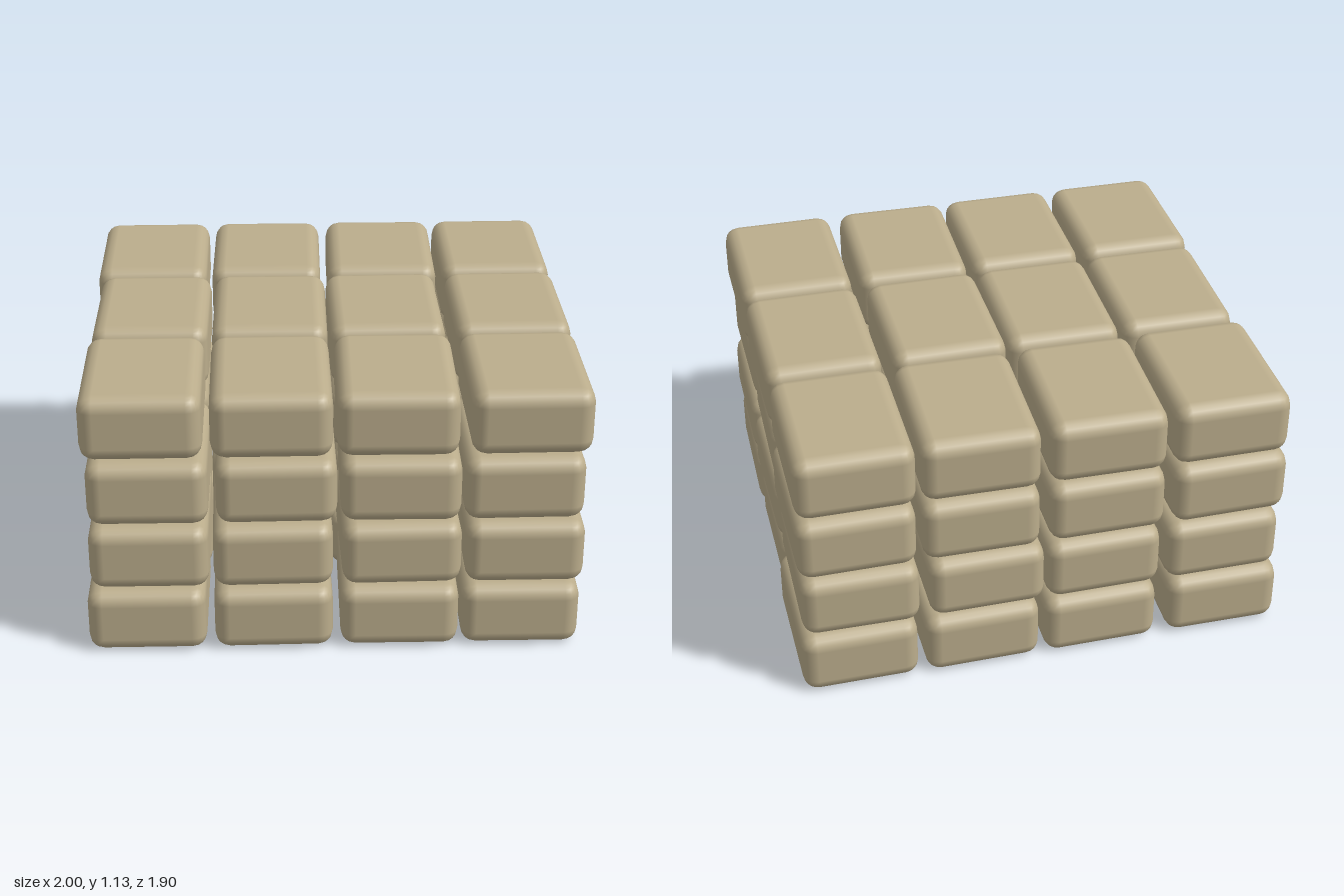
import * as THREE from 'three';
import { RoundedBoxGeometry } from 'three/addons/geometries/RoundedBoxGeometry.js';

// Small repeatable jitter in the range -1..1
function seeded(seed) {
  let s = seed;
  return () => {
    s = (s * 16807) % 2147483647;
    return (s / 2147483647) * 2 - 1;
  };
}

// Block centres along x for the front face, bottom layer first
const FRONT_X = [
  [-0.75, -0.247, 0.262, 0.747],
  [-0.733, -0.247, 0.262, 0.755],
  [-0.73, -0.23, 0.262, 0.74],
  [-0.747, -0.245, 0.248, 0.76],
];
// Top layer, back and middle rows
const TOP_X = [
  [-0.752, -0.253, 0.255, 0.75],
  [-0.733, -0.243, 0.238, 0.755],
];

export function createModel() {
  const model = new THREE.Group();
  model.name = 'blockStack';
  const sand = new THREE.MeshStandardMaterial({ color: 0xbbad8c });
  sand.name = 'sand';
  const geometry = new RoundedBoxGeometry(0.474, 0.27, 0.618, 2, 0.06);
  const jitter = seeded(41);

  // Four layers, each three rows deep and four blocks wide
  for (let layer = 0; layer < 4; layer++) {
    const group = new THREE.Group();
    group.name = `layer${layer + 1}`;
    for (let row = 0; row < 3; row++) {
      for (let col = 0; col < 4; col++) {
        const block = new THREE.Mesh(geometry, sand);
        block.name = `block${row + 1}_${col + 1}`;
        let x = (col - 1.5) * 0.5 + jitter() * 0.013;
        if (row === 2) x = FRONT_X[layer][col];
        else if (layer === 3) x = TOP_X[row][col];
        block.position.set(x, 0.135 + layer * 0.286, (row - 1) * 0.638);
        block.rotation.y = jitter() * 0.015;
        group.add(block);
      }
    }
    model.add(group);
  }
  return model;
}
